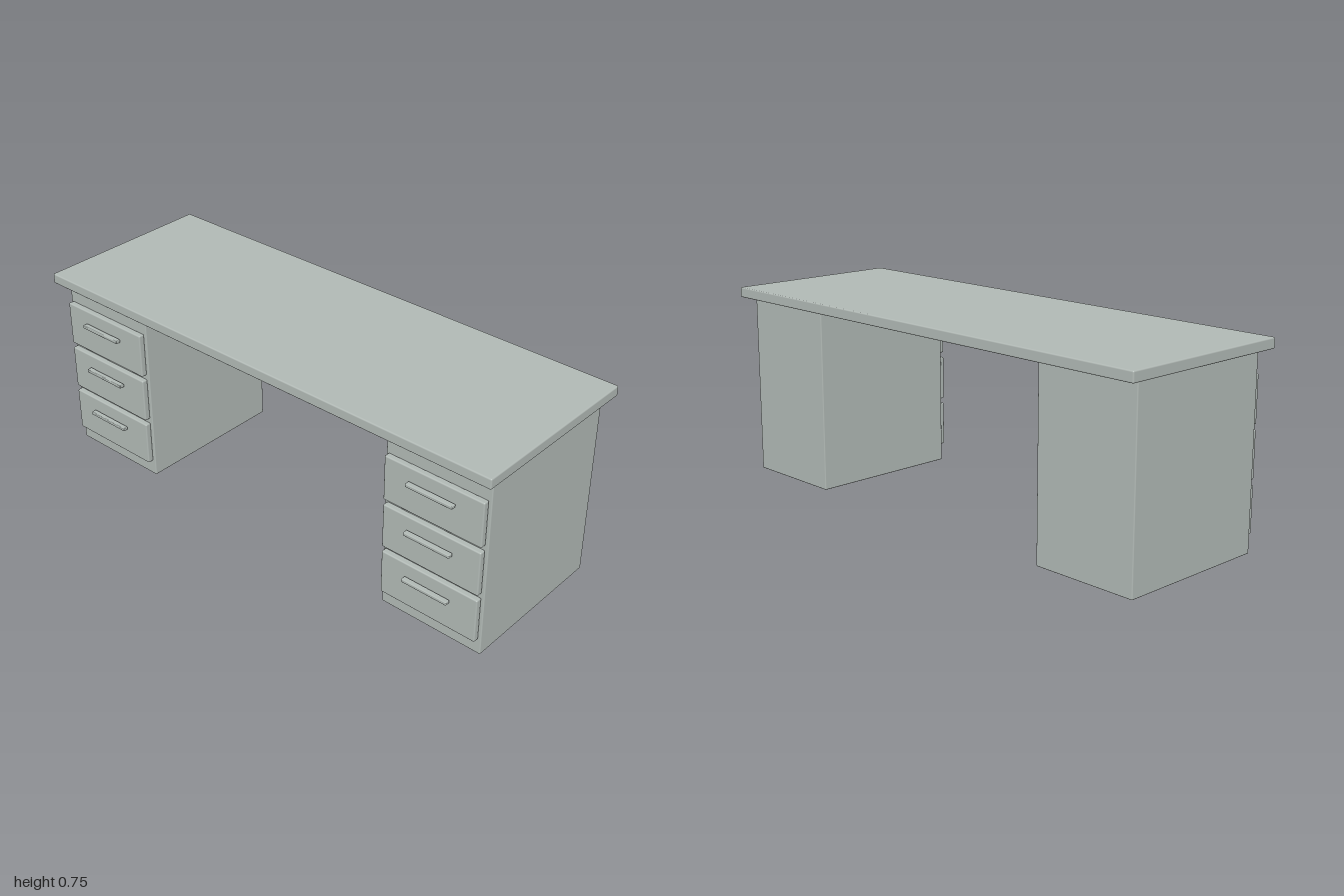
import * as THREE from 'three';
import { RoundedBoxGeometry } from 'three/addons/geometries/RoundedBoxGeometry.js';

export function createModel() {
  const paint = new THREE.MeshStandardMaterial({ color: 0xb0b8b4 });
  paint.name = 'greyPaint';
  const rubber = new THREE.MeshStandardMaterial({ color: 0x1e1e1e });
  rubber.name = 'blackRubber';

  const desk = new THREE.Group();
  desk.name = 'desk';

  const add = (parent, name, geometry, material, x, y, z) => {
    const mesh = new THREE.Mesh(geometry, material);
    mesh.name = name;
    mesh.position.set(x, y, z);
    parent.add(mesh);
  };

  // Shared shapes
  const cabinet = new RoundedBoxGeometry(0.412, 0.698, 0.6, 3, 0.004);
  const drawer = new RoundedBoxGeometry(0.391, 0.172, 0.024, 3, 0.005);
  const handle = new RoundedBoxGeometry(0.185, 0.013, 0.02, 2, 0.003);
  const foot = new THREE.CylinderGeometry(0.0285, 0.0285, 0.01, 24);

  // Worktop
  add(desk, 'worktop', new RoundedBoxGeometry(2, 0.039, 0.707, 3, 0.005), paint, 0, 0.7305, 0);

  // Two pedestals, each with three drawers and two feet
  for (const [side, name] of [[1, 'leftPedestal'], [-1, 'rightPedestal']]) {
    const pedestal = new THREE.Group();
    pedestal.name = name;
    pedestal.position.x = side * 0.7675;
    add(pedestal, 'cabinet', cabinet, paint, 0, 0.36, 0);
    for (let i = 0; i < 3; i++) {
      const y = 0.159 + i * 0.1915;
      add(pedestal, 'drawerFront', drawer, paint, 0, y, 0.312);
      add(pedestal, 'drawerHandle', handle, paint, 0, y + 0.031, 0.338);
    }
    for (const z of [-0.217, 0.217]) add(pedestal, 'foot', foot, rubber, 0, 0.006, z);
    desk.add(pedestal);
  }
  return desk;
}
